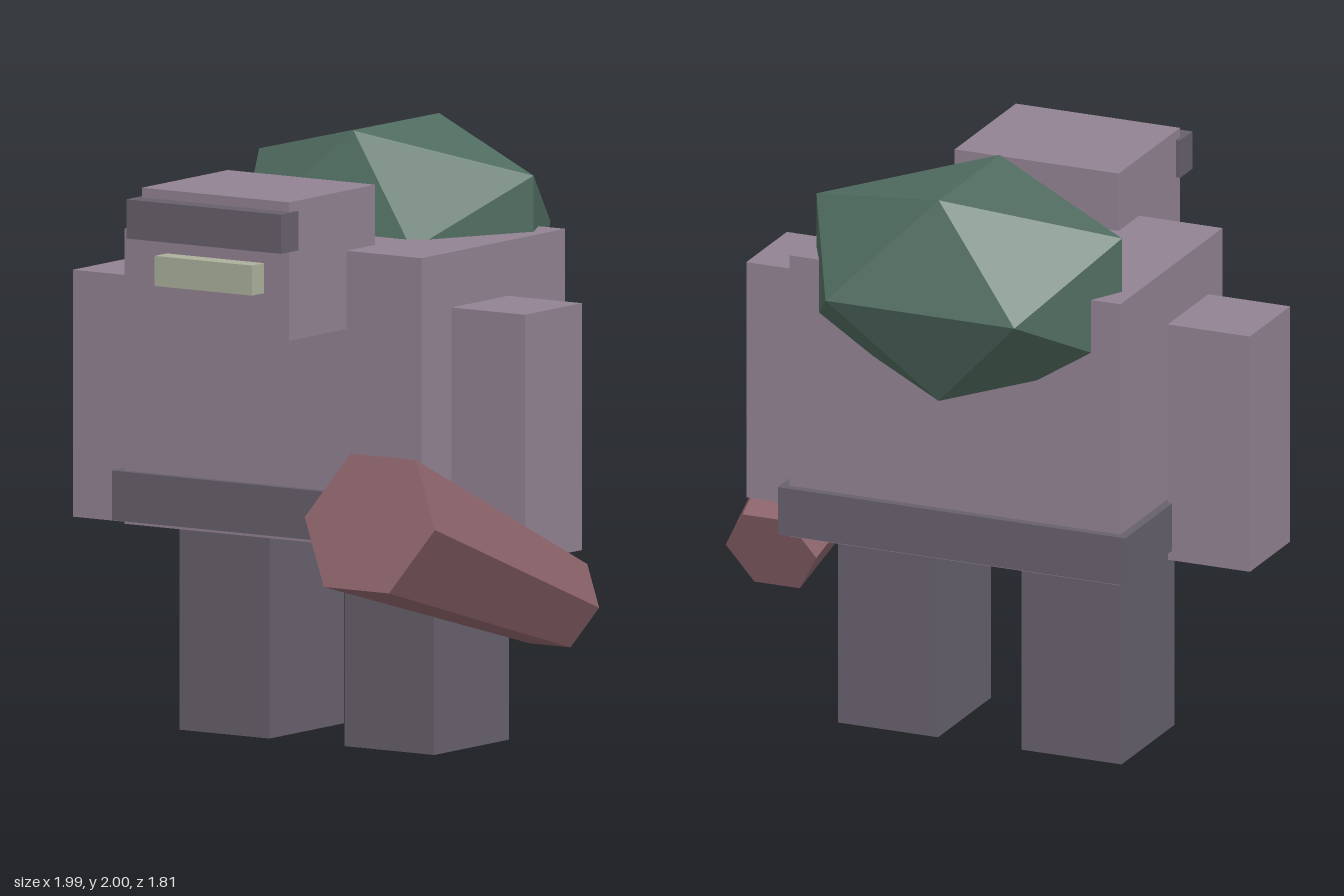
import * as THREE from 'three';

const paint = (name, color) => {
  const m = new THREE.MeshStandardMaterial({ color });
  m.name = name;
  m.flatShading = true;
  return m;
};

export function createModel() {
  const hide = paint('mauve hide', 0x928292);
  const dark = paint('dark slate', 0x66606b);
  const moss = paint('moss green', 0x506c60);
  const wood = paint('red wood', 0x8c646b);
  const bone = paint('pale bone', 0xabb09b);

  const model = new THREE.Group();
  model.name = 'golem';
  const add = (name, geometry, material, x, y, z) => {
    const mesh = new THREE.Mesh(geometry, material);
    mesh.name = name;
    mesh.position.set(x, y, z);
    model.add(mesh);
    return mesh;
  };
  const box = (name, material, w, h, d, x, y, z) =>
    add(name, new THREE.BoxGeometry(w, h, d), material, x, y, z);

  const cx = -0.094; // the body's own centre line

  // Torso and belt
  box('torso', hide, 1.19, 0.98, 0.825, cx, 1.19, -0.207);
  box('belt', dark, 1.25, 0.165, 0.88, cx, 0.795, -0.208);

  // Head, brow and teeth
  box('head', hide, 0.59, 0.46, 0.495, cx, 1.65, 0.288);
  box('brow', dark, 0.62, 0.13, 0.1, cx, 1.783, 0.553);
  box('teeth', bone, 0.39, 0.1, 0.1, cx, 1.62, 0.555);

  // Paired limbs
  for (const [side, s] of [['left', 1], ['right', -1]]) {
    box(side + 'Arm', hide, 0.295, 0.82, 0.327, cx + s * 0.758, 1.09, -0.108);
    box(side + 'Leg', dark, 0.36, 0.71, 0.43, cx + s * 0.33, 0.355, -0.205);
  }

  // Mossy boulder on the back: a stretched icosahedron
  const rock = new THREE.IcosahedronGeometry(1, 0);
  rock.rotateY(Math.PI / 2);
  rock.scale(0.646, 0.411, 0.469);
  add('backBoulder', rock, moss, cx, 1.65, -0.505);

  // Six-sided club, thick end forward and raised 20 degrees
  const club = new THREE.CylinderGeometry(0.261, 0.163, 1.155, 6, 1, false, Math.PI / 2);
  add('club', club, wood, 0.731, 0.695, 0.29).rotation.x = THREE.MathUtils.degToRad(70);

  return model;
}
